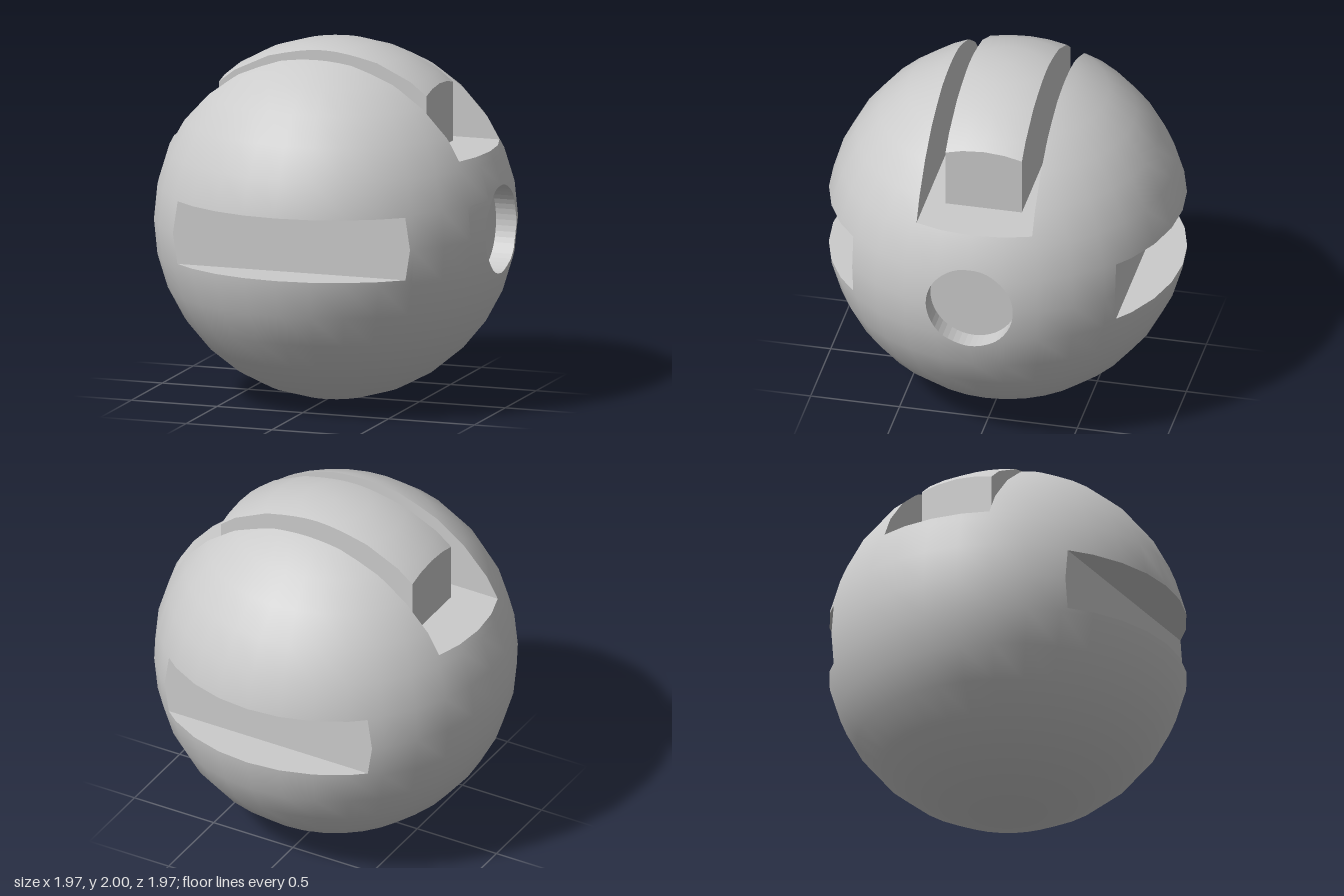
import * as THREE from 'three';

const V = (x, y, z) => new THREE.Vector3(x, y, z);
const RINGS = 16, SEGMENTS = 32;

// A cutter is a list of planes { n, d }; a point is inside when n.p <= d for all.
const plane = (n, d) => ({ n, d });

function box(x0, x1, y0, y1, z0, z1) {
  return [
    plane(V(1, 0, 0), x1), plane(V(-1, 0, 0), -x0),
    plane(V(0, 1, 0), y1), plane(V(0, -1, 0), -y0),
    plane(V(0, 0, 1), z1), plane(V(0, 0, -1), -z0),
  ];
}

function cylinderAlongX(x0, x1, radius, sides) {
  const planes = [plane(V(1, 0, 0), x1), plane(V(-1, 0, 0), -x0)];
  for (let i = 0; i < sides; i++) {
    const a = ((i + 0.5) / sides) * Math.PI * 2;
    planes.push(plane(V(0, Math.cos(a), Math.sin(a)), radius * Math.cos(Math.PI / sides)));
  }
  return planes;
}

// Split a convex polygon by a plane into its inner and outer pieces
function split(poly, { n, d }) {
  const inner = [], outer = [];
  poly.forEach((p, i) => {
    const q = poly[(i + 1) % poly.length];
    const a = n.dot(p) - d, b = n.dot(q) - d;
    if (a <= 1e-7) inner.push(p);
    if (a >= -1e-7) outer.push(p);
    if ((a < -1e-7 && b > 1e-7) || (a > 1e-7 && b < -1e-7)) {
      const hit = p.clone().lerp(q, a / (a - b));
      inner.push(hit);
      outer.push(hit);
    }
  });
  return { inner, outer };
}

function clipInside(poly, planes) {
  for (const pl of planes) {
    if (poly.length < 3) return [];
    poly = split(poly, pl).inner;
  }
  return poly;
}

// Remove a convex cutter from a set of polygons
function subtract(polys, planes) {
  const kept = [];
  for (let poly of polys) {
    if (clipInside(poly, planes).length < 3) {
      kept.push(poly);
      continue;
    }
    for (const pl of planes) {
      if (poly.length < 3) break;
      const { inner, outer } = split(poly, pl);
      if (outer.length > 2) kept.push(outer);
      poly = inner;
    }
  }
  return kept;
}

// The faces of a convex cutter that lie within the ball
function facesWithin(planes, ballPlanes, flip) {
  const faces = [];
  for (const pl of planes) {
    const u = V(pl.n.y, pl.n.z, pl.n.x).cross(pl.n).normalize().multiplyScalar(4);
    const v = pl.n.clone().cross(u);
    const c = pl.n.clone().multiplyScalar(pl.d);
    const quad = [[-1, -1], [1, -1], [1, 1], [-1, 1]].map(([s, t]) =>
      c.clone().addScaledVector(u, s).addScaledVector(v, t));
    const face = clipInside(quad, [...planes.filter((o) => o !== pl), ...ballPlanes]);
    if (face.length > 2) faces.push(flip ? face.reverse() : face);
  }
  return faces;
}

// Fan-triangulate polygons; round surfaces take radial normals, walls stay flat
function makeMesh(name, polys, round) {
  const pos = [], nor = [];
  for (const poly of polys) {
    for (let i = 1; i < poly.length - 1; i++) {
      for (const p of [poly[0], poly[i], poly[i + 1]]) {
        pos.push(p.x, p.y, p.z);
        nor.push(...p.clone().normalize().toArray());
      }
    }
  }
  const geo = new THREE.BufferGeometry();
  geo.setAttribute('position', new THREE.Float32BufferAttribute(pos, 3));
  if (round) geo.setAttribute('normal', new THREE.Float32BufferAttribute(nor, 3));
  else geo.computeVertexNormals();
  const mesh = new THREE.Mesh(geo, new THREE.MeshStandardMaterial({ color: 0xcccccc }));
  mesh.name = name;
  return mesh;
}

// Facets of the unit ball
function ballFacets() {
  const point = (i, j) => {
    const t = (i / RINGS) * Math.PI, p = (j / SEGMENTS) * Math.PI * 2;
    return V(Math.sin(t) * Math.sin(p), Math.cos(t), Math.sin(t) * Math.cos(p));
  };
  const facets = [];
  for (let i = 0; i < RINGS; i++) {
    for (let j = 0; j < SEGMENTS; j++) {
      const quad = [point(i, j), point(i + 1, j), point(i + 1, j + 1), point(i, j + 1)];
      if (i === 0) quad.pop();
      if (i === RINGS - 1) quad.splice(2, 1);
      facets.push(quad);
    }
  }
  return facets;
}

export function createModel() {
  const facets = ballFacets();
  const ballPlanes = facets.map(([a, b, c]) => {
    const n = b.clone().sub(a).cross(c.clone().sub(a)).normalize();
    return plane(n, n.dot(a));
  });

  // Recesses cut into the ball
  const cavities = {
    topChannel: box(-2, 2, 0.43, 2, -0.325, 0.325),
    frontSlot: box(-2, 2, -0.17, 0.18, 0.72, 2),
    backSlot: box(-2, 2, -0.17, 0.18, -2, -0.75),
    sideHole: cylinderAlongX(0.845, 2, 0.245, 48),
  };

  const group = new THREE.Group();
  group.name = 'slottedBall';
  const body = new THREE.Group();
  body.name = 'ball';
  body.position.set(0.013, 1, 0);
  group.add(body);

  // Outer shell and the walls of each recess
  const shell = Object.values(cavities).reduce(subtract, facets);
  body.add(makeMesh('ballShell', shell, true));
  for (const [name, planes] of Object.entries(cavities)) {
    body.add(makeMesh(name + 'Walls', facesWithin(planes, ballPlanes, true), false));
  }

  // Block standing in the top channel, its crown following the ball
  const block = box(-0.605, 0.605, 0.43, 2, -0.215, 0.215);
  const crown = facets.map((f) => clipInside(f, block)).filter((f) => f.length > 2);
  body.add(makeMesh('topBlockCrown', crown, true));
  body.add(makeMesh('topBlockWalls', facesWithin(block, ballPlanes, false), false));

  return group;
}
